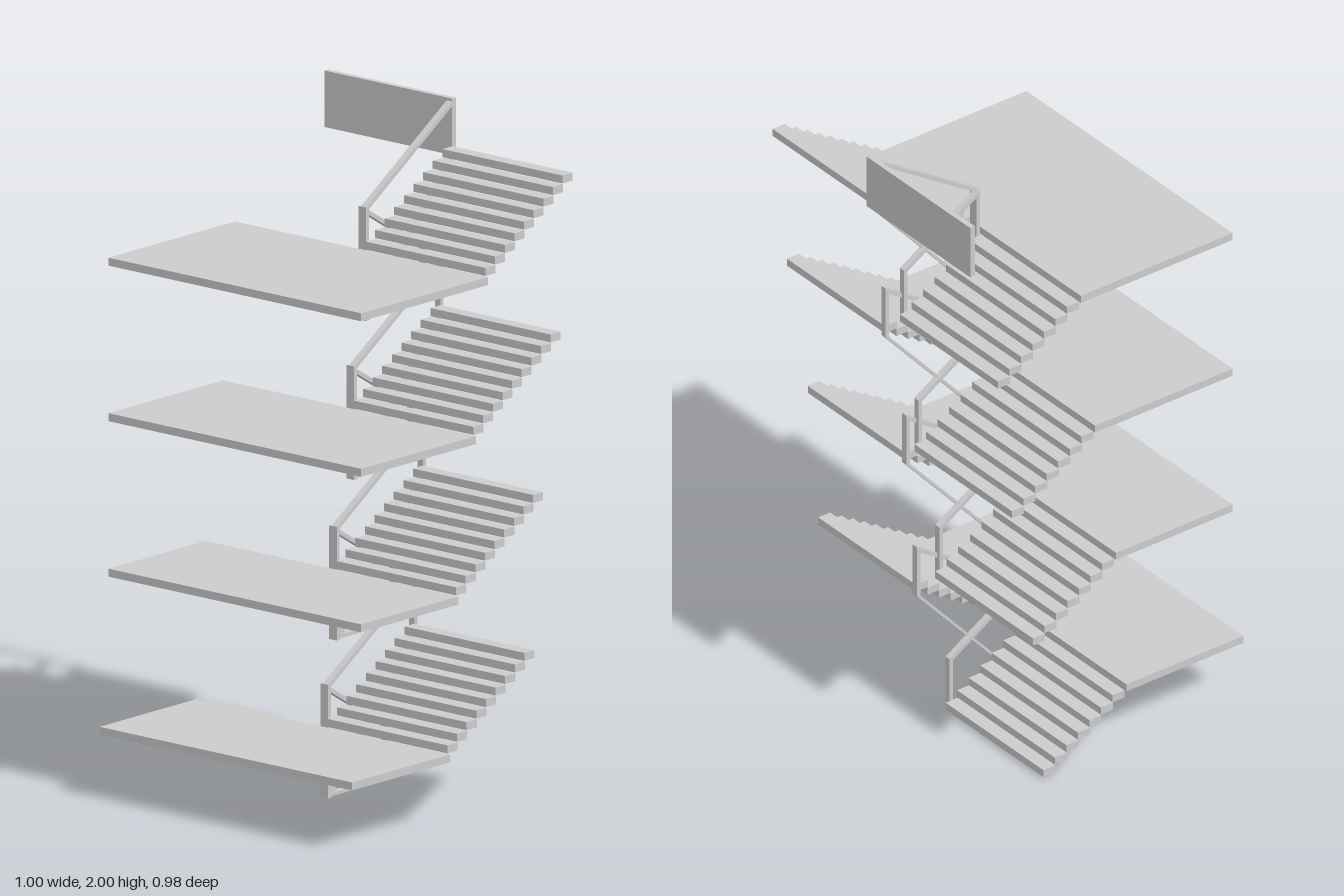
import * as THREE from 'three';

const FLOOR = 0.468;   // height between storeys
const RUN = 0.0425;    // tread pitch
const RISE = 0.0265;
const SLAB = 0.024;    // thickness of landings and treads

const material = new THREE.MeshStandardMaterial({ color: 0xcccccc, flatShading: true });

// Box given by its minimum and maximum corners
function box(name, x0, x1, y0, y1, z0, z1) {
  const mesh = new THREE.Mesh(new THREE.BoxGeometry(x1 - x0, y1 - y0, z1 - z0), material);
  mesh.position.set((x0 + x1) / 2, (y0 + y1) / 2, (z0 + z1) / 2);
  mesh.name = name;
  return mesh;
}

// Flat open frame: an outline with one opening, extruded from z0 to z1
function frame(name, outer, inner, z0, z1) {
  const toPoints = (list) => list.map(([x, y]) => new THREE.Vector2(x, y));
  const shape = new THREE.Shape(toPoints(outer));
  shape.holes.push(new THREE.Path(toPoints(inner)));
  const geometry = new THREE.ExtrudeGeometry(shape, { depth: z1 - z0, bevelEnabled: false });
  const mesh = new THREE.Mesh(geometry, material);
  mesh.position.z = z0;
  mesh.name = name;
  return mesh;
}

// Row of treads leaving the landing edge at x = 0, going up (dir 1) or down (dir -1)
function flight(name, count, dir, z0, z1) {
  const group = new THREE.Group();
  group.name = name;
  for (let i = 0; i < count; i++) {
    const top = 0.214 + dir * RISE * (i + 1);
    group.add(box('tread', i * RUN - 0.002, (i + 1) * RUN, top - SLAB, top, z0, z1));
  }
  return group;
}

// One storey; its origin is the landing edge at the storey's base
function storey(landingLeft) {
  const group = new THREE.Group();
  group.name = 'storey';
  group.add(box('landing', landingLeft, 0, 0.19, 0.214, -0.49, 0.49));
  group.add(flight('lowerFlight', 7, -1, -0.479, -0.014));
  group.add(flight('upperFlight', 9, 1, 0.016, 0.482));

  // Railing of the lower flight
  group.add(frame('lowerRailing',
    [[0.002, 0], [0.282, 0], [0.282, 0.172], [0.002, 0.342]],
    [[0.016, 0.011], [0.016, 0.319], [0.269, 0.165], [0.269, 0.011]],
    -0.014, 0.006));

  // Railing of the upper flight, with its slanted lower bar
  group.add(frame('upperRailing',
    [[0.002, 0], [0.016, 0], [0.396, 0.428], [0.396, 0.597], [0.002, 0.342]],
    [[0.015, 0.013], [0.015, 0.335], [0.383, 0.574], [0.383, 0.427]],
    -0.005, 0.016));
  return group;
}

export function createModel() {
  const model = new THREE.Group();
  model.name = 'staircase';

  // [landing edge, landing outer end] of each storey, bottom to top
  const storeys = [[-0.068, -0.5], [-0.03, -0.46], [0.047, -0.46], [0.1, -0.46]];
  storeys.forEach(([edge, outer], i) => {
    const level = storey(outer - edge);
    level.position.set(edge, i * FLOOR, 0);
    model.add(level);
  });

  // Solid guard closing the top of the stairwell
  model.add(box('topGuard', 0.481, 0.498, 1.83, 2.0, -0.478, 0.016));
  return model;
}
